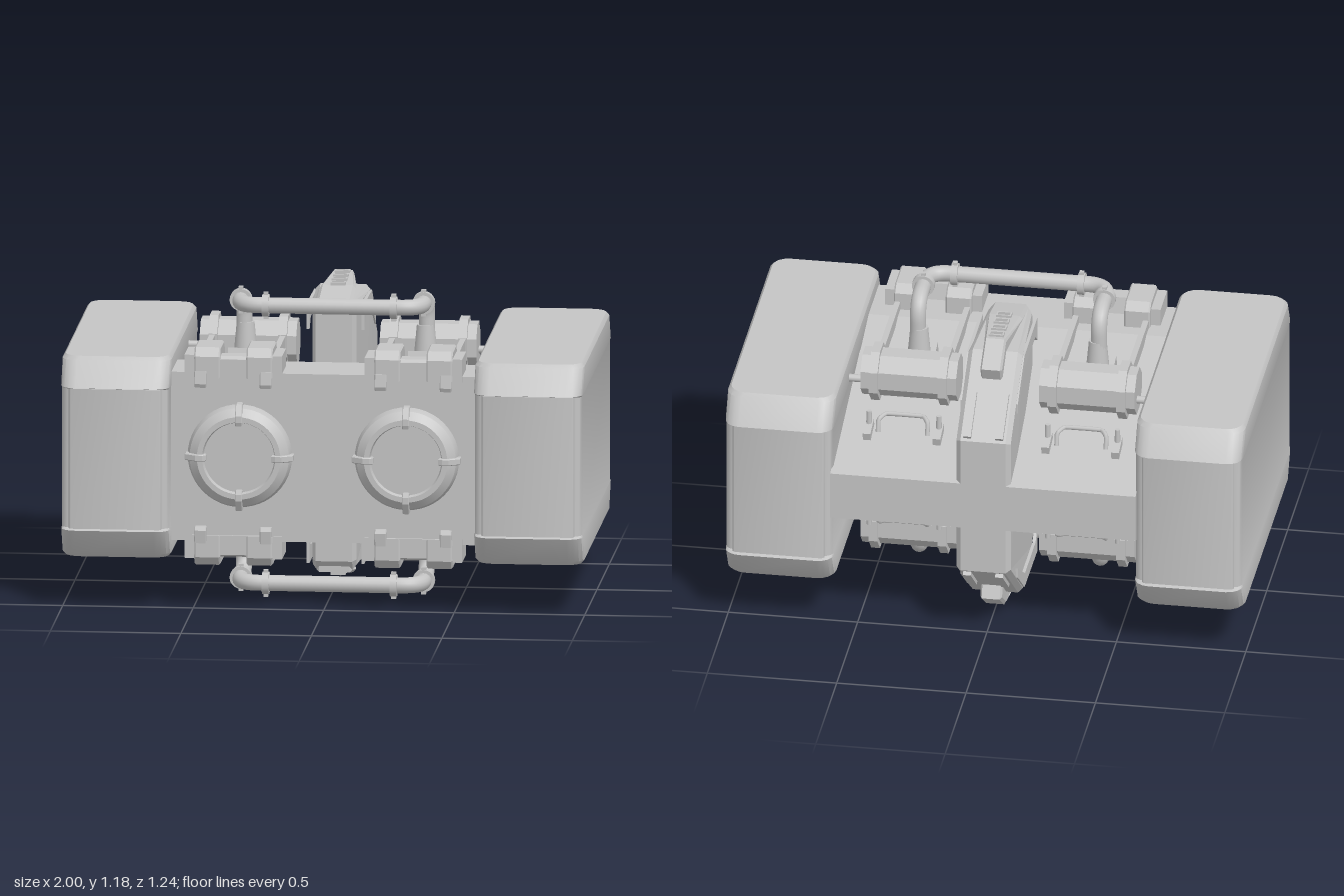
import * as THREE from 'three';
import { toCreasedNormals } from 'three/addons/utils/BufferGeometryUtils.js';

const CY = 0.595; // height of the horizontal mirror plane
const grey = new THREE.MeshStandardMaterial({ color: 0xc4c4c4 });
grey.name = 'hull grey';

function add(parent, name, geo, x = 0, y = 0, z = 0) {
  const m = new THREE.Mesh(geo, grey);
  m.name = name;
  m.position.set(x, y, z);
  parent.add(m);
  return m;
}
const box = (w, h, d) => new THREE.BoxGeometry(w, h, d);
const smooth = (geo, a = 0.6) => toCreasedNormals(geo, a);

// Extrudes a [z, y] outline along x, centred on x = 0, with a chamfer
function extrudeX(points, width, bevel = 0) {
  const shape = new THREE.Shape(points.map(p => new THREE.Vector2(p[0], p[1])));
  const depth = width - 2 * bevel;
  const geo = new THREE.ExtrudeGeometry(shape, {
    depth, bevelEnabled: bevel > 0, bevelSize: bevel, bevelThickness: bevel,
    bevelOffset: -bevel, bevelSegments: 1,
  });
  geo.translate(0, 0, -depth / 2);
  geo.rotateY(-Math.PI / 2);
  return geo;
}
// Completes an upper outline with its reflection below the mirror plane
const mirrored = pts => [...pts, ...pts.map(p => [p[0], 2 * CY - p[1]]).reverse()];

// Rounded-rectangle sections [y, halfX, halfZ, radius] joined from bottom to top
function loft(levels) {
  const pos = [], idx = [], per = 5, n = per * 4;
  for (const [y, hx, hz, r] of levels) {
    for (let c = 0; c < 4; c++) {
      const sx = c === 0 || c === 3 ? 1 : -1, sz = c < 2 ? 1 : -1;
      for (let k = 0; k < per; k++) {
        const a = (c + k / (per - 1)) * Math.PI / 2;
        pos.push(sx * (hx - r) + r * Math.cos(a), y, sz * (hz - r) + r * Math.sin(a));
      }
    }
  }
  const last = levels.length - 1;
  for (let j = 0; j < last; j++) {
    for (let i = 0; i < n; i++) {
      const a = j * n + i, b = j * n + (i + 1) % n;
      idx.push(a, a + n, b, b, a + n, b + n);
    }
  }
  for (let i = 1; i < n - 1; i++) {
    idx.push(0, i, i + 1, last * n, last * n + i + 1, last * n + i);
  }
  const geo = new THREE.BufferGeometry();
  geo.setAttribute('position', new THREE.Float32BufferAttribute(pos, 3));
  geo.setIndex(idx);
  geo.computeVertexNormals();
  return smooth(geo);
}

// Big side pod with flared caps and inset end panels
function addPod(root, side) {
  const pod = new THREE.Group();
  pod.name = side > 0 ? 'leftPod' : 'rightPod';
  pod.position.set(side * 0.791, CY, 0);
  root.add(pod);
  const upper = [
    [0.27, 0.207, 0.588, 0.035], [0.277, 0.209, 0.62, 0.06],
    [0.375, 0.209, 0.562, 0.06], [0.39, 0.198, 0.548, 0.06],
  ];
  const lower = upper.map(([y, ...rest]) => [-y, ...rest]).reverse();
  add(pod, 'podShell', loft([...lower, ...upper]));
  add(pod, 'podEndPanels', loft([
    [-0.272, 0.178, 0.606, 0.015], [0.272, 0.178, 0.606, 0.015],
  ]));
}

// Round front port with stepped rim and four clips
function addPort(root, x) {
  const port = new THREE.Group();
  port.name = 'frontPort';
  port.position.set(x, 0.6, 0.51);
  root.add(port);
  const profile = [[0, 0.035], [0.135, 0.035], [0.14, 0.055], [0.16, 0.055], [0.19, 0.03], [0.2, 0], [0.2, -0.01]]
    .map(p => new THREE.Vector2(...p)).reverse();
  const ring = new THREE.LatheGeometry(profile, 48);
  ring.rotateX(Math.PI / 2);
  add(port, 'portRim', smooth(ring, 0.35));
  for (let i = 0; i < 4; i++) {
    const arm = new THREE.Group();
    arm.rotation.z = i * Math.PI / 2;
    port.add(arm);
    add(arm, 'portClip', extrudeX(
      [[-0.01, 0.125], [0.06, 0.125], [0.066, 0.14], [0.066, 0.165], [0.04, 0.208], [-0.01, 0.208]], 0.026, 0.003));
  }
}

// Tapered pipe foot, hinge drum, front flap, rails and handle for one side
function addDeckGear(half, cx) {
  const gear = new THREE.Group();
  gear.name = 'deckGear';
  gear.position.x = cx;
  half.add(gear);

  // Hinge drum with collars
  const drum = (r, w) => {
    const g = new THREE.CylinderGeometry(r, r, w, 8).toNonIndexed();
    g.rotateY(Math.PI / 8);
    g.rotateZ(Math.PI / 2);
    g.computeVertexNormals();
    return g;
  };
  add(gear, 'hingeDrum', drum(0.092, 0.37), 0, 0.915, -0.165);
  for (const s of [-1, 1]) {
    add(gear, 'hingeCollar', drum(0.112, 0.034), s * 0.133, 0.915, -0.165);
    // Rail from the drum to the front flap
    add(gear, 'deckRail', box(0.022, 0.05, 0.48), s * 0.135, 0.93, 0.13);
    const brace = add(gear, 'deckBrace', box(0.016, 0.03, 0.17), s * 0.092, 0.935, 0.43);
    brace.rotation.y = -s * 0.6;
    // Flap lugs and front clips
    add(gear, 'flapLug', extrudeX(
      [[0.525, 0.9], [0.525, 0.985], [0.5, 1.018], [0.36, 1.018], [0.325, 0.99], [0.325, 0.9]], 0.1, 0.006), s * 0.1, 0, 0);
    add(gear, 'flapWing', box(0.05, 0.09, 0.16), s * 0.162, 0.945, 0.435);
    add(gear, 'frontClip', extrudeX(
      [[0.5, 0.865], [0.528, 0.865], [0.535, 0.88], [0.528, 0.93], [0.5, 0.93]], 0.045, 0.003), s * 0.125, 0, 0);
    // Handle foot
    const foot = add(gear, 'handleFoot', box(0.03, 0.04, 0.09), s * 0.135, 0.765, -0.365);
    foot.rotation.x = -0.265;
    add(gear, 'handlePost', new THREE.CylinderGeometry(0.01, 0.012, 0.08, 8), s * 0.135, 0.8, -0.35);
  }
  add(gear, 'flapBridge', extrudeX(
    [[0.52, 0.9], [0.52, 0.97], [0.5, 0.985], [0.44, 0.985], [0.42, 0.9]], 0.14), 0, 0, 0);
  add(gear, 'flapFrontPlate', box(0.3, 0.05, 0.02), 0, 0.95, 0.51);

  // Handle
  const grip = new THREE.CatmullRomCurve3([
    [-0.095, 0.77, -0.385], [-0.095, 0.815, -0.37], [-0.07, 0.825, -0.335],
    [0.07, 0.825, -0.335], [0.095, 0.815, -0.37], [0.095, 0.77, -0.385],
  ].map(p => new THREE.Vector3(...p)), false, 'catmullrom', 0.15);
  add(gear, 'handle', new THREE.TubeGeometry(grip, 30, 0.009, 8));

  // Pipe foot on a square pedestal
  const plate = add(gear, 'pedestal', box(0.125, 0.08, 0.14), 0, 0.875, 0.015);
  plate.rotation.x = -0.265;
  add(gear, 'pipeFoot', new THREE.CylinderGeometry(0.034, 0.046, 0.13, 20), 0, 0.96, 0.012);

  // Side pin reaching the pod
  const pin = new THREE.CylinderGeometry(0.015, 0.015, 0.26, 10);
  pin.rotateZ(Math.PI / 2);
  add(gear, 'hingePin', pin, Math.sign(cx) * 0.13, 0.89, -0.19);
}

// Bent pipe joining the two sides, with clamp rings
function addPipe(half) {
  const path = new THREE.CurvePath();
  const pts = [[-0.35, 0.93, 0.01], [-0.35, 1.135, 0.01], [-0.35, 1.135, 0.25],
    [0.35, 1.135, 0.25], [0.35, 1.135, 0.01], [0.35, 0.93, 0.01]].map(p => new THREE.Vector3(...p));
  let from = pts[0];
  for (let i = 1; i < pts.length - 1; i++) {
    const before = pts[i].clone().add(pts[i - 1].clone().sub(pts[i]).setLength(0.085));
    const after = pts[i].clone().add(pts[i + 1].clone().sub(pts[i]).setLength(0.085));
    path.add(new THREE.LineCurve3(from, before));
    path.add(new THREE.QuadraticBezierCurve3(before, pts[i], after));
    from = after;
  }
  path.add(new THREE.LineCurve3(from, pts[5]));
  add(half, 'crossPipe', new THREE.TubeGeometry(path, 140, 0.031, 16));
  for (const s of [-1, 1]) {
    const along = new THREE.CylinderGeometry(0.043, 0.043, 0.028, 20);
    along.rotateX(Math.PI / 2);
    add(half, 'pipeClamp', along, s * 0.35, 1.135, 0.145);
    const across = new THREE.CylinderGeometry(0.043, 0.043, 0.026, 20);
    across.rotateZ(Math.PI / 2);
    add(half, 'pipeClamp', across, s * 0.245, 1.135, 0.25);
    add(half, 'clampLug', box(0.018, 0.105, 0.018), s * 0.35, 1.135, 0.145);
    add(half, 'clampLug', box(0.018, 0.105, 0.018), s * 0.245, 1.135, 0.25);
  }
}

// Raised ridge with vents on top of the central fin
function addRidge(half) {
  const ridge = extrudeX([[0.07, 1.05], [0.07, 1.125], [-0.08, 1.153], [-0.305, 1.168],
    [-0.415, 1.09], [-0.385, 1.02], [-0.3, 1.05]], 0.14, 0.012);
  const p = ridge.attributes.position;
  for (let i = 0; i < p.count; i++) if (p.getZ(i) < -0.25) p.setX(i, p.getX(i) * 0.6);
  ridge.computeVertexNormals();
  add(half, 'finRidge', ridge);
  for (let i = 0; i < 4; i++) {
    const y = 1.158 + i * 0.0035, z = -0.09 - i * 0.06;
    for (const s of [-1, 1]) {
      add(half, 'ventFrame', box(0.056, 0.012, 0.006), 0, y, z + s * 0.013);
      add(half, 'ventFrame', box(0.006, 0.012, 0.032), s * 0.026, y, z);
    }
  }
  for (const s of [-1, 1]) {
    add(half, 'finSideRail', extrudeX(
      [[0.02, 1.0], [0.02, 1.1], [-0.29, 1.095], [-0.45, 0.97], [-0.45, 0.93], [-0.28, 1.04], [-0.03, 1.04]], 0.012), s * 0.105, 0, 0);
    add(half, 'finRearRib', extrudeX(
      [[-0.44, 1.0], [-0.45, 1.015], [-0.6, 0.895], [-0.58, 0.87]], 0.03), s * 0.062, 0, 0);
  }
}

export function createModel() {
  const root = new THREE.Group();
  root.name = 'twinPodModule';

  // Central body and the fin that wraps around its rear
  add(root, 'centralBody', extrudeX(mirrored([[0.51, 0.922], [0.27, 0.922], [-0.6, 0.69]]), 1.18));
  const fin = extrudeX(mirrored([[0.085, 1.08], [0.06, 1.115], [-0.3, 1.115], [-0.6, 0.875]]), 0.21, 0.018);
  const p = fin.attributes.position;
  for (let i = 0; i < p.count; i++) if (p.getZ(i) > 0.03) p.setX(i, p.getX(i) * 0.8);
  fin.computeVertexNormals();
  add(root, 'centralFin', fin);

  for (const s of [-1, 1]) {
    addPod(root, s);
    addPort(root, s * 0.32);
  }

  // The underside repeats the top, turned half a turn about the z axis
  for (const turn of [0, Math.PI]) {
    const pivot = new THREE.Group();
    pivot.name = turn ? 'undersideGear' : 'topGear';
    pivot.position.y = CY;
    pivot.rotation.z = turn;
    root.add(pivot);
    const half = new THREE.Group();
    half.position.y = -CY;
    pivot.add(half);
    for (const s of [-1, 1]) addDeckGear(half, s * 0.345);
    addPipe(half);
    addRidge(half);
  }
  return root;
}
